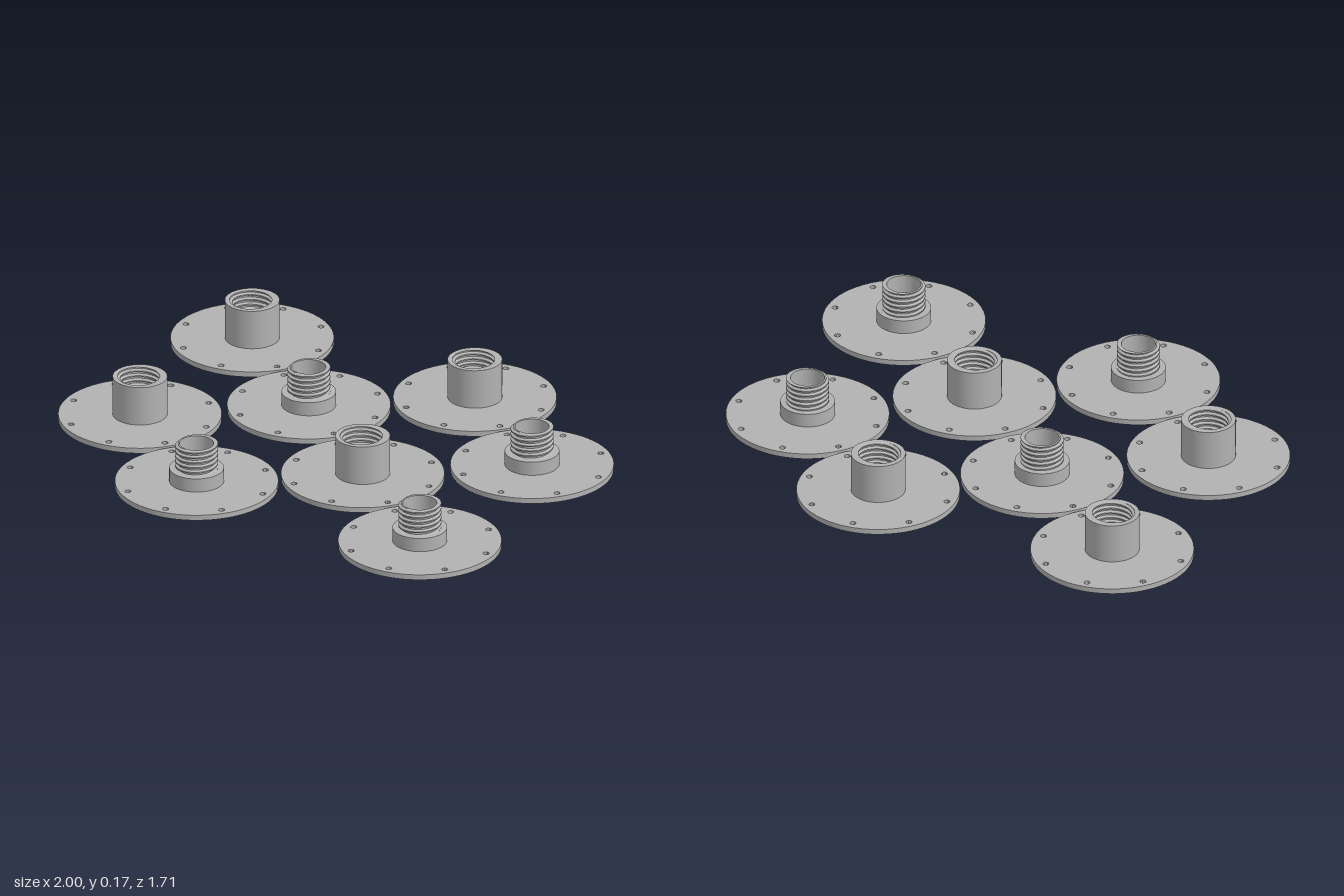
import * as THREE from 'three';
import { toCreasedNormals } from 'three/addons/utils/BufferGeometryUtils.js';

const PLATE_R = 0.293, PLATE_H = 0.02, BORE = 0.061, COLLAR_R = 0.098;
const SHOULDER = 0.072, TOP = 0.168, PITCH = (TOP - SHOULDER) / 5;

const clamp = THREE.MathUtils.clamp;

// Round plate with a centre bore and eight screw holes
function plateGeometry() {
  const shape = new THREE.Shape().absarc(0, 0, PLATE_R, 0, Math.PI * 2, false);
  const hole = (x, y, r) => shape.holes.push(new THREE.Path().absarc(x, y, r, 0, Math.PI * 2, true));
  hole(0, 0, BORE);
  for (let i = 0; i < 8; i++) {
    const a = THREE.MathUtils.degToRad(7 + 45 * i);
    hole(0.262 * Math.cos(a), 0.262 * Math.sin(a), 0.011);
  }
  const geo = new THREE.ExtrudeGeometry(shape, { depth: PLATE_H, bevelEnabled: false, curveSegments: 32 });
  geo.rotateX(-Math.PI / 2);
  return toCreasedNormals(geo, 0.6);
}

// Helical thread; its end rows run on to the neighbouring radii as shoulder and rim
function threadGeometry(root, crest, bottomR, topR, inside) {
  const cols = 64, turns = 6, rows = turns * 4;
  const pos = [], idx = [];
  const profile = (t) => {
    const f = (t - Math.floor(t)) * 4;
    const k = f < 1 ? 0 : f < 2 ? f - 1 : f < 3 ? 1 : 4 - f;
    return root + (crest - root) * k;
  };
  for (let j = -1; j <= rows + 1; j++) {
    for (let i = 0; i <= cols; i++) {
      const u = i / cols, a = u * Math.PI * 2;
      let y = clamp(SHOULDER + PITCH * (j / 4 + u - 1), SHOULDER, TOP);
      let r = profile((y - SHOULDER) / PITCH - u);
      if (j < 0) { y = SHOULDER; r = bottomR; }
      if (j > rows) { y = TOP; r = topR; }
      pos.push(r * Math.sin(a), y, r * Math.cos(a));
    }
  }
  const w = cols + 1;
  for (let j = 0; j < rows + 2; j++) {
    for (let i = 0; i < cols; i++) {
      const a = j * w + i, b = a + 1, c = b + w, d = a + w;
      if (inside) idx.push(a, c, b, a, d, c);
      else idx.push(a, b, c, a, c, d);
    }
  }
  const geo = new THREE.BufferGeometry();
  geo.setAttribute('position', new THREE.Float32BufferAttribute(pos, 3));
  geo.setIndex(idx);
  return toCreasedNormals(geo, 0.5);
}

// Plain cylindrical wall, facing outward when drawn upward and inward when drawn downward
function wall(r, from, to) {
  return new THREE.LatheGeometry([new THREE.Vector2(r, from), new THREE.Vector2(r, to)], 64);
}

export function createModel() {
  const model = new THREE.Group();
  model.name = 'threadedFlanges';
  const grey = new THREE.MeshStandardMaterial({ color: 0xb2b2b2 });
  grey.name = 'grey';

  const plate = plateGeometry();
  // Threaded spigot on a short collar
  const maleParts = {
    plate,
    collar: wall(COLLAR_R, PLATE_H, SHOULDER),
    outerThread: threadGeometry(0.067, 0.077, COLLAR_R, BORE, false),
    bore: wall(BORE, TOP, PLATE_H),
  };
  // Tall sleeve threaded on the inside
  const femaleParts = {
    plate,
    sleeve: wall(COLLAR_R, PLATE_H, TOP),
    innerThread: threadGeometry(0.081, 0.071, BORE, COLLAR_R, true),
    bore: wall(BORE, SHOULDER, PLATE_H),
  };

  const addFlange = (name, parts, x, z) => {
    const flange = new THREE.Group();
    flange.name = name;
    for (const [part, geo] of Object.entries(parts)) {
      const mesh = new THREE.Mesh(geo, grey);
      mesh.name = part;
      flange.add(mesh);
    }
    flange.position.set(x, 0, z);
    model.add(flange);
  };

  // Staggered layout, alternating columns of female and male flanges
  for (const x of [-0.707, 0.234]) {
    for (const z of [-0.564, 0.193]) addFlange('femaleFlange', femaleParts, x, z);
  }
  for (const x of [-0.236, 0.707]) {
    for (const z of [-0.194, 0.563]) addFlange('maleFlange', maleParts, x, z);
  }
  return model;
}
